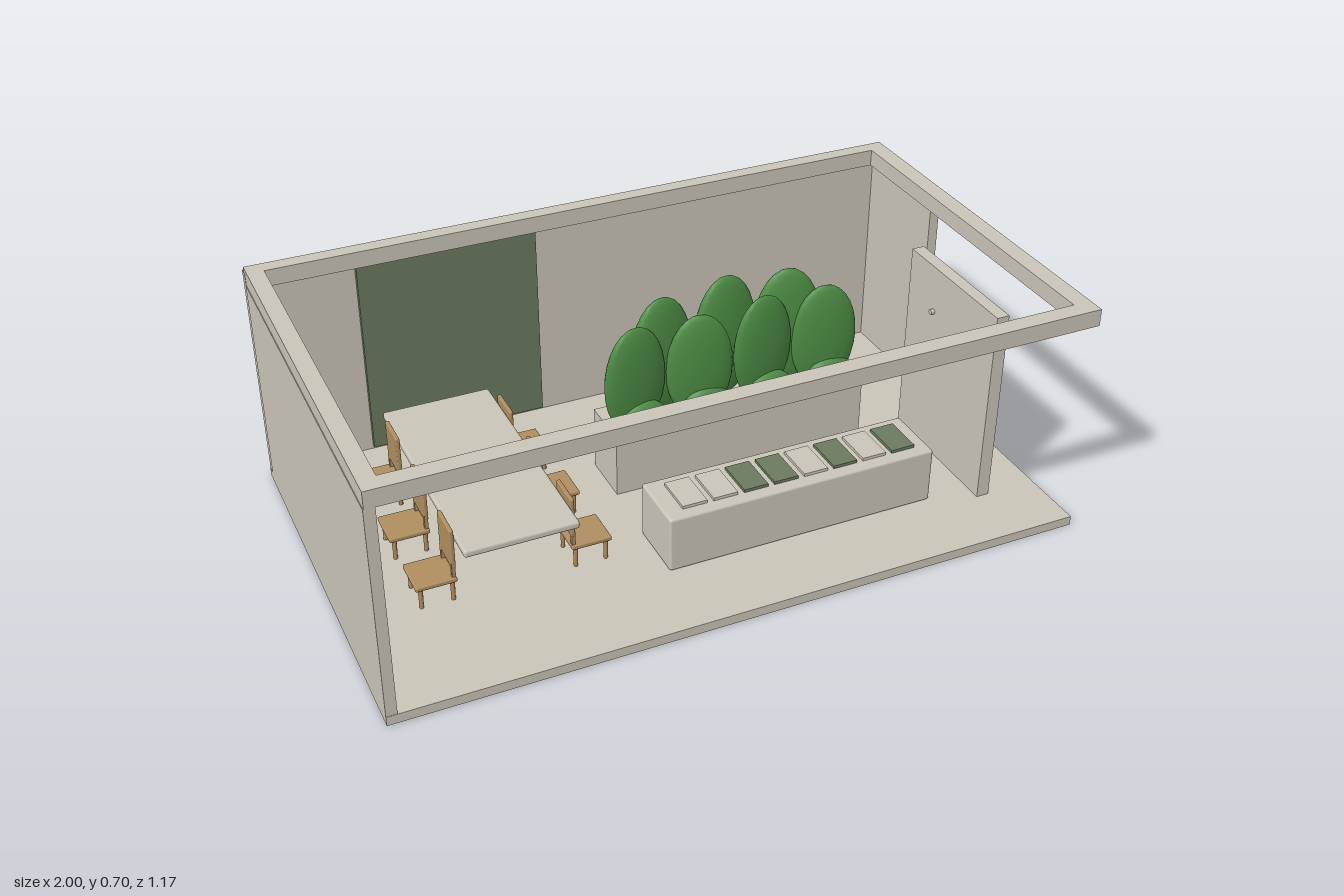
import * as THREE from 'three';
import { RoundedBoxGeometry } from 'three/addons/geometries/RoundedBoxGeometry.js';

function material(name, color) {
  const m = new THREE.MeshStandardMaterial({ color });
  m.name = name;
  return m;
}

export function createModel() {
  const root = new THREE.Group();
  root.name = 'diningRoom';
  const stone = material('stone', 0xcac5b8);
  const sage = material('sageGreen', 0x6a7b60);
  const wood = material('wood', 0xb08e60);
  const leaf = material('leafGreen', 0x4c8b44);

  function add(name, geometry, mat, parent = root) {
    const mesh = new THREE.Mesh(geometry, mat);
    mesh.name = name;
    parent.add(mesh);
    return mesh;
  }
  // Box from its minimum and maximum on each axis, optionally with rounded edges
  function box(name, mat, [x0, x1], [y0, y1], [z0, z1], parent = root, radius = 0) {
    const size = [x1 - x0, y1 - y0, z1 - z0];
    const geo = radius ? new RoundedBoxGeometry(...size, 2, radius) : new THREE.BoxGeometry(...size);
    const mesh = add(name, geo, mat, parent);
    mesh.position.set((x0 + x1) / 2, (y0 + y1) / 2, (z0 + z1) / 2);
    return mesh;
  }

  // Floor and walls
  box('floor', stone, [-1, 1], [0, 0.028], [-0.584, 0.585]);
  box('backWall', stone, [-0.999, 0.999], [0.001, 0.685], [-0.585, -0.555]);
  box('leftSideWall', stone, [-1, -0.97], [0.028, 0.65], [-0.555, 0.584]);
  box('rightSideWall', stone, [0.97, 1], [0.001, 0.685], [-0.585, -0.21]);

  // Open ring of roof beams
  const ring = new THREE.Shape();
  ring.moveTo(-0.998, -0.585).lineTo(0.998, -0.585).lineTo(0.998, 0.57).lineTo(-0.998, 0.57).closePath();
  const opening = new THREE.Path();
  opening.moveTo(-0.95, -0.535).lineTo(-0.95, 0.525).lineTo(0.945, 0.525).lineTo(0.945, -0.535).closePath();
  ring.holes.push(opening);
  const beams = new THREE.ExtrudeGeometry(ring, { depth: 0.05, bevelEnabled: false });
  beams.rotateX(-Math.PI / 2);
  add('roofBeams', beams, stone).position.y = 0.65;

  // Green panel on the back wall
  box('backPanel', sage, [-0.695, -0.16], [0.04, 0.65], [-0.555, -0.54]);

  // Slim bars on the side wall
  for (const z of [-0.205, 0.18]) {
    box('wallBar', stone, [-0.97, -0.96], [0.26, 0.48], [z - 0.01, z + 0.01]);
  }

  // Free-standing screen with two knobs
  box('screen', stone, [0.81, 0.848], [0.028, 0.617], [-0.045, 0.395]);
  for (const z of [0.09, 0.275]) {
    const knob = add('screenKnob', new THREE.CylinderGeometry(0.008, 0.008, 0.012, 12), stone);
    knob.rotation.z = Math.PI / 2;
    knob.position.set(0.805, 0.48, z);
  }

  // Table on a stacked round pedestal
  const table = new THREE.Group();
  table.name = 'table';
  root.add(table);
  box('tableTop', stone, [-0.69, -0.37], [0.212, 0.235], [-0.42, 0.3], table, 0.008);
  const rings = [[0.105, 0.03], [0.118, 0.025], [0.1, 0.03], [0.116, 0.025], [0.088, 0.03], [0.095, 0.02], [0.1, 0.026]];
  let y = 0.028;
  for (const [r, h] of rings) {
    add('pedestalRing', new THREE.CylinderGeometry(r, r * 0.95, h, 16), stone, table)
      .position.set(-0.53, y + h / 2, -0.06);
    y += h;
  }

  // Chairs along both sides, seat pointing away from the table
  for (const side of [-1, 1]) {
    for (const z of [-0.295, -0.06, 0.172]) {
      const chair = new THREE.Group();
      chair.name = 'chair';
      chair.position.set(side < 0 ? -0.692 : -0.368, 0, z);
      if (side < 0) chair.rotation.y = Math.PI;
      box('seat', wood, [0, 0.115], [0.088, 0.102], [-0.058, 0.058], chair, 0.004);
      for (const x of [0.012, 0.1]) {
        for (const lz of [-0.047, 0.047]) {
          add('chairLeg', new THREE.CylinderGeometry(0.007, 0.006, 0.062, 8), wood, chair)
            .position.set(x, 0.058, lz);
        }
      }
      for (const pz of [-0.045, 0.045]) {
        box('backPost', wood, [0.002, 0.012], [0.1, 0.145], [pz - 0.006, pz + 0.006], chair);
      }
      box('backrest', wood, [0, 0.012], [0.13, 0.252], [-0.052, 0.052], chair, 0.004);
      root.add(chair);
    }
  }

  // Front counter with a row of tiles
  box('counter', stone, [-0.135, 0.678], [0.028, 0.198], [0.16, 0.35], root, 0.008);
  const greenTiles = [2, 3, 5, 7];
  for (let i = 0; i < 8; i++) {
    const x = -0.082 + i * 0.092;
    box('counterTile', greenTiles.includes(i) ? sage : stone, [x, x + 0.073], [0.198, 0.207], [0.195, 0.315]);
  }

  // Planter and its hedge
  box('planter', stone, [-0.125, 0.667], [0.028, 0.222], [-0.203, -0.038]);
  function bush(name, x, cy, z, rx, ry, rz, yaw) {
    const mesh = add(name, new THREE.SphereGeometry(1, 20, 14), leaf);
    mesh.scale.set(rx, ry, rz);
    mesh.position.set(x, cy, z);
    mesh.rotation.y = yaw;
  }
  const frontTops = [0.535, 0.53, 0.545, 0.535];
  frontTops.forEach((top, i) => {
    const x = -0.045 + i * 0.2;
    bush('frontBush', x, top - 0.17, -0.088, 0.1, 0.17, 0.028, i % 2 ? -0.15 : 0.15);
    bush('lowBush', x + 0.017, 0.255, -0.07, 0.07, 0.046, 0.03, 0);
  });
  [0.585, 0.61, 0.59].forEach((top, i) => {
    bush('rearBush', 0.055 + i * 0.2, top - 0.195, -0.132, 0.105, 0.195, 0.032, [0.15, 0.1, -0.2][i]);
  });

  return root;
}
